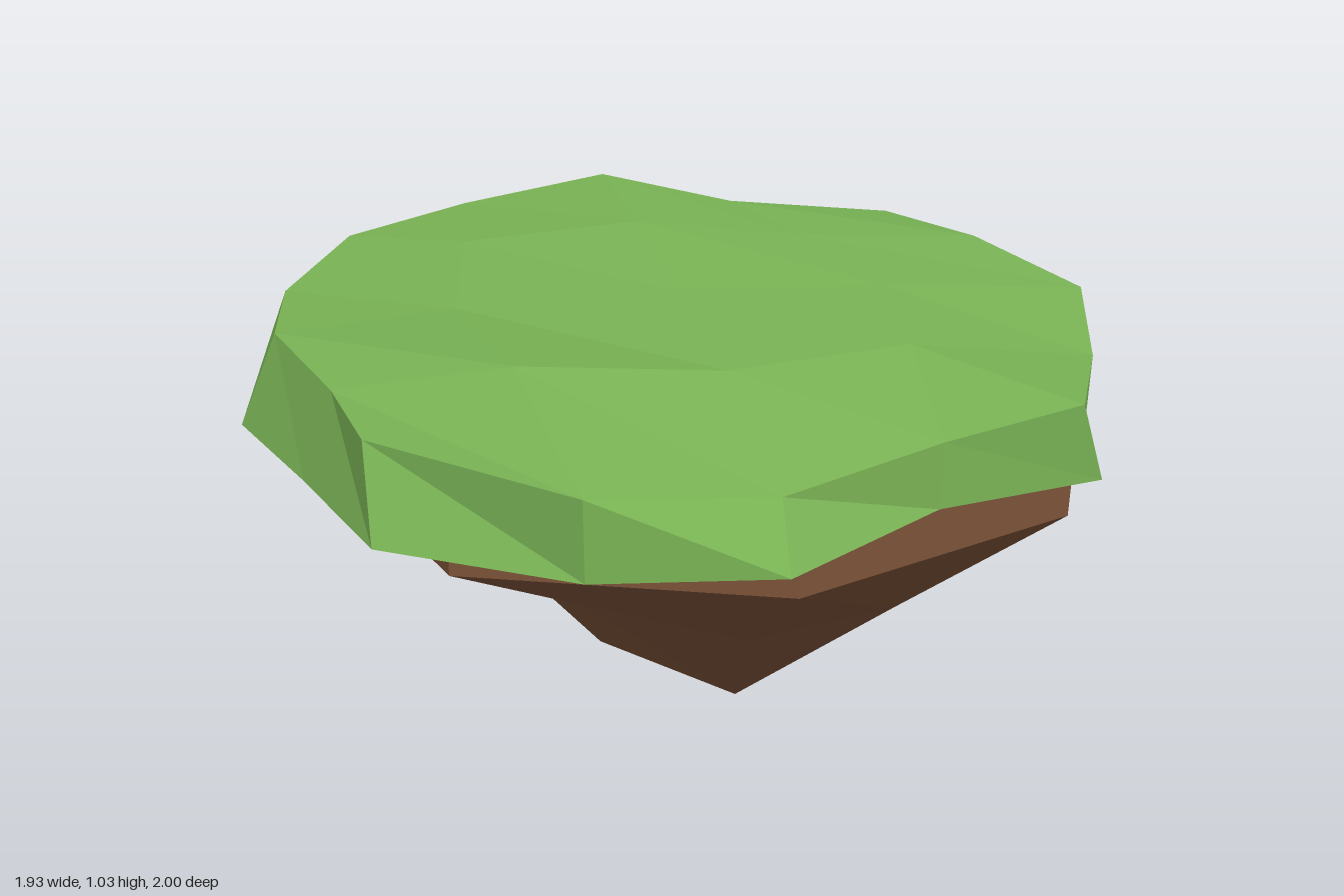
import * as THREE from 'three';

// Flat-shaded mesh from a list of triangles (each three [x, y, z] points)
function facetMesh(name, tris, color) {
  const geo = new THREE.BufferGeometry();
  geo.setAttribute('position', new THREE.Float32BufferAttribute(tris.flat(2), 3));
  geo.computeVertexNormals();
  const mesh = new THREE.Mesh(geo, new THREE.MeshStandardMaterial({ color, flatShading: true }));
  mesh.name = name;
  return mesh;
}

const same = (p, q) => p.every((v, i) => v === q[i]);
function addTri(tris, a, b, c) {
  if (!same(a, b) && !same(b, c) && !same(a, c)) tris.push([a, b, c]);
}

// Joins an upper ring to a lower ring, both running front, right, back, left.
// Segments listed in flips are split along the other diagonal.
function loft(tris, upper, lower, flips = []) {
  upper.forEach((a, i) => {
    const j = (i + 1) % upper.length;
    if (flips.includes(i)) {
      addTri(tris, a, lower[i], upper[j]);
      addTri(tris, lower[i], lower[j], upper[j]);
    } else {
      addTri(tris, a, lower[i], lower[j]);
      addTri(tris, a, lower[j], upper[j]);
    }
  });
}

function fan(tris, ring, centre, up) {
  ring.forEach((a, i) => {
    const b = ring[(i + 1) % ring.length];
    if (up) addTri(tris, centre, a, b);
    else addTri(tris, centre, b, a);
  });
}

// Grass slab: uneven 5 x 5 top, skirt and underside
function makeGrass() {
  const tris = [];
  const top = [ // rows from back to front
    [[-0.7, 0.965, -0.67], [-0.39, 0.975, -0.87], [0, 1.0, -0.99], [0.3, 0.98, -0.73], [0.73, 0.93, -0.72]],
    [[-0.86, 0.945, -0.33], [-0.43, 1.0, -0.45], [0, 1.02, -0.47], [0.39, 0.99, -0.37], [0.84, 0.965, -0.35]],
    [[-0.88, 0.97, 0.02], [-0.49, 0.99, 0], [0, 1.0, 0.01], [0.48, 0.985, 0.02], [0.965, 0.945, 0.02]],
    [[-0.77, 0.97, 0.37], [-0.42, 1.035, 0.48], [0, 1.0, 0.5], [0.41, 0.99, 0.41], [0.83, 0.925, 0.39]],
    [[-0.72, 0.975, 0.635], [-0.36, 0.965, 0.945], [0, 0.925, 0.925], [0.35, 0.94, 0.79], [0.645, 0.975, 0.75]],
  ];
  for (let r = 0; r < 4; r++) {
    for (let c = 0; c < 4; c++) {
      const a = top[r][c], b = top[r + 1][c], d = top[r + 1][c + 1], e = top[r][c + 1];
      addTri(tris, a, b, d);
      addTri(tris, a, d, e);
    }
  }
  const rim = [
    ...top[4].slice(0, 4),
    ...[4, 3, 2, 1].map((r) => top[r][4]),
    ...[4, 3, 2, 1].map((c) => top[0][c]),
    ...[0, 1, 2, 3].map((r) => top[r][0]),
  ];
  const hem = [
    [-0.72, 0.8, 0.735], [-0.36, 0.8, 0.945], [0, 0.8, 1.0], [0.35, 0.8, 0.79],
    [0.71, 0.8, 0.73], [0.83, 0.78, 0.39], [0.965, 0.8, 0.02], [0.84, 0.8, -0.35],
    [0.73, 0.775, -0.72], [0.36, 0.81, -0.785], [0, 0.875, -1.0], [-0.36, 0.815, -0.92],
    [-0.73, 0.81, -0.7], [-0.85, 0.79, -0.33], [-0.97, 0.765, 0.02], [-0.84, 0.78, 0.37],
  ];
  loft(tris, rim, hem);
  fan(tris, hem, [0, 0.8, 0], false);
  return facetMesh('grassTop', tris, 0x7ab455);
}

// Rock: vertical band tapering in facets to an off-centre three-point tip
function makeRock() {
  const tris = [];
  const band = [
    [0.045, 0.7, 0.9], [0.67, 0.7, 0.68], [0.89, 0.7, 0.05], [0.67, 0.6, -0.575],
    [0.04, 0.7, -0.79], [-0.58, 0.7, -0.57], [-0.805, 0.7, 0.05], [-0.58, 0.7, 0.68],
  ];
  // the band runs up into the slab at the back and stops under it at the front
  const head = band.map(([x, , z]) => [x, z > 0.5 ? 0.8 : 0.83, z]);
  const ledge = [-0.39, 0.385, 0.09];
  const waist = [
    [0.05, 0.375, 0.5], [0.46, 0.28, 0.27], [0.66, 0.335, 0.05], [0.51, 0.48, -0.51],
    [0.13, 0.25, -0.32], [-0.13, 0.32, -0.12], [-0.62, 0.59, 0], ledge,
  ];
  const A = [0.12, 0, 0.13], B = [0.13, 0.02, -0.05], C = [-0.18, 0.08, -0.05];
  const low = [A, A, [0.45, 0.225, 0.04], [0.33, 0.135, -0.09], B, C, ledge, C];
  loft(tris, head, band);
  loft(tris, band, waist, [2]);
  loft(tris, waist, low, [3, 6]);
  loft(tris, low, [A, A, B, B, B, C, C, C]);
  addTri(tris, A, C, B);
  fan(tris, head, [0, 0.82, 0], true);
  return facetMesh('rockBase', tris, 0x7c5339);
}

export function createModel() {
  const group = new THREE.Group();
  group.name = 'floatingIsland';
  group.add(makeGrass(), makeRock());
  return group;
}
